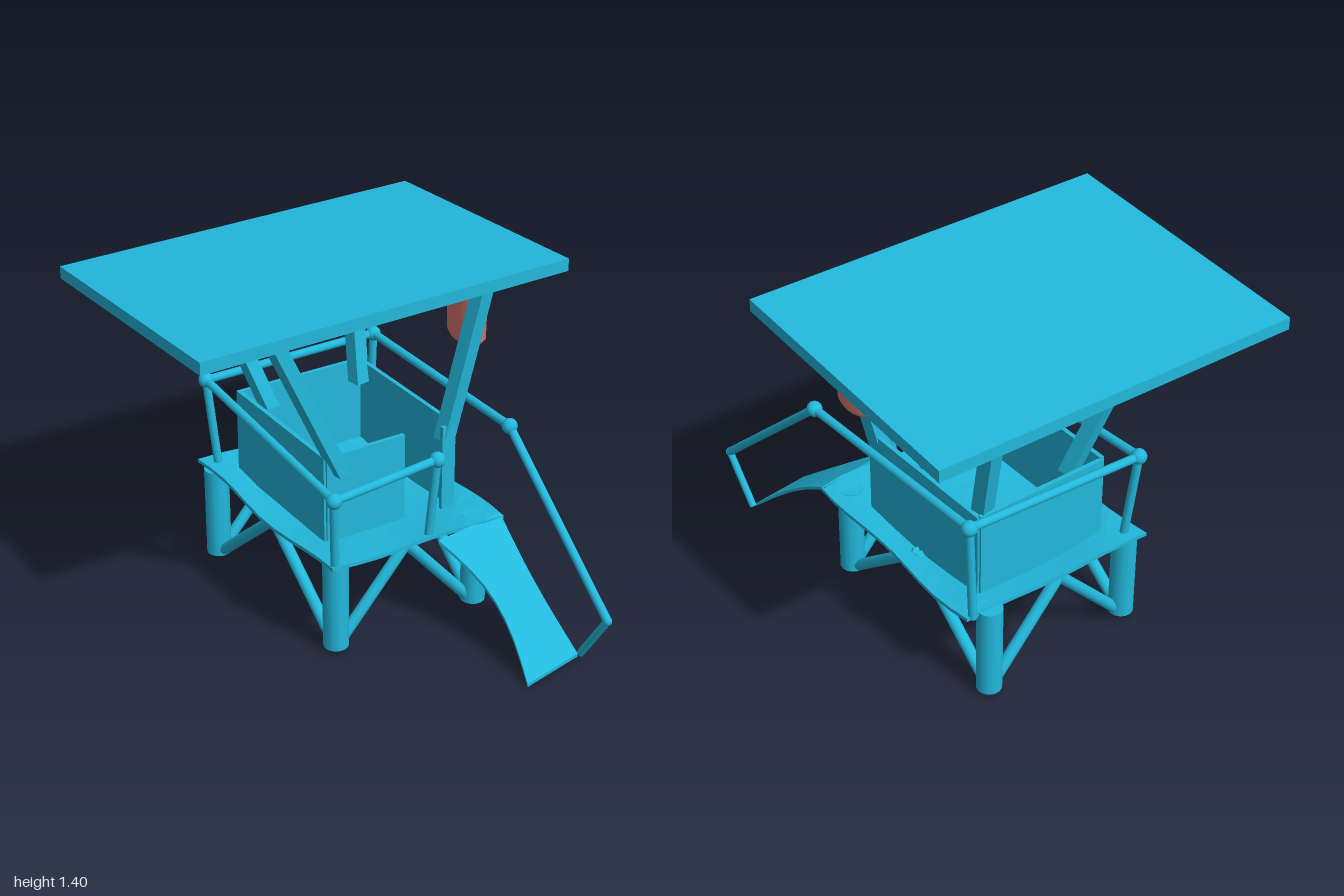
import * as THREE from 'three';

const V = (p) => new THREE.Vector3(...p);
const paint = (color, flat = false) =>
  new THREE.MeshStandardMaterial({ color, flatShading: flat, side: THREE.DoubleSide });

export function createModel() {
  const model = new THREE.Group();
  const blue = paint(0x22b8dc);
  const blueFlat = paint(0x22b8dc, true);
  const red = paint(0xd9786b);
  const dark = paint(0x4a2020);

  const add = (name, geometry, material = blue) => {
    const mesh = new THREE.Mesh(geometry, material);
    mesh.name = name;
    model.add(mesh);
    return mesh;
  };

  // round bar between two points
  const bar = (name, a, b, r) => {
    const A = V(a), B = V(b), d = B.clone().sub(A);
    const m = add(name, new THREE.CylinderGeometry(r, r, d.length(), 14));
    m.position.copy(A).add(B).multiplyScalar(0.5);
    m.quaternion.setFromUnitVectors(new THREE.Vector3(0, 1, 0), d.normalize());
  };

  // box whose vertices are moved into a slab between bottom and top corners
  // corners: front left, front right, back right, back left
  const slab = (name, corners, thickness, nx = 1, nz = 1, bend = () => [0, 0, 0]) => {
    const [fl, fr, br, bl] = corners.map(V);
    const g = new THREE.BoxGeometry(1, 1, 1, nx, 1, nz);
    const p = g.attributes.position;
    for (let i = 0; i < p.count; i++) {
      const u = p.getX(i) + 0.5, v = p.getZ(i) + 0.5;
      const front = fl.clone().lerp(fr, u);
      const q = bl.clone().lerp(br, u).lerp(front, v).add(V(bend(u, v)));
      p.setXYZ(i, q.x, q.y + (p.getY(i) - 0.5) * thickness, q.z);
    }
    g.computeVertexNormals();
    return add(name, g, blueFlat);
  };

  // roof
  slab('roof', [[-0.87, 1.38, 0.12], [0.66, 1.405, 0.39], [0.86, 1.335, -0.72], [-0.67, 1.31, -1.0]], 0.05);

  // uneven deck
  slab('deck', [[-0.4, 0.42, 0.25], [0.37, 0.405, 0.37], [0.55, 0.4, -0.56], [-0.25, 0.425, -0.74]], 0.015, 8, 10,
    (u, v) => [
      0.01 * Math.sin(v * 9),
      -0.035 * Math.sin(Math.PI * u) * Math.sin(Math.PI * v) - 0.015 * Math.sin(Math.PI * v) + 0.006 * Math.sin(u * 9 + v * 7),
      0.012 * Math.sin(u * 9) * v,
    ]);

  // warped entry ramp
  slab('ramp', [[0.04, 0.015, 0.85], [0.31, 0.03, 0.85], [0.37, 0.41, 0.36], [0.05, 0.41, 0.35]], 0.014, 5, 8,
    (u, v) => [
      (0.5 - u) * 0.09 * Math.sin(Math.PI * v) + 0.02 * Math.sin(Math.PI * v),
      0.02 * Math.sin(Math.PI * v) - 0.012 * Math.sin(Math.PI * u) * Math.sin(Math.PI * v),
      0,
    ]);

  // legs with an inverted V of braces on each side
  const feet = [[-0.32, 0.18], [0.30, 0.29], [0.45, -0.58], [-0.22, -0.66]];
  feet.forEach(([x, z], i) => {
    bar('leg', [x, 0.02, z], [x, 0.405, z], 0.05);
    const [x2, z2] = feet[(i + 1) % 4];
    const apex = [(x + x2) / 2, 0.37, (z + z2) / 2];
    bar('brace', [x + (x2 - x) * 0.05, 0.045, z + (z2 - z) * 0.05], apex, 0.023);
    bar('brace', [x2 + (x - x2) * 0.05, 0.045, z2 + (z - z2) * 0.05], apex, 0.023);
  });

  // cabin walls, each between two plan points
  const wall = (name, [x1, z1], [x2, z2], y0, y1) => {
    const m = add(name, new THREE.BoxGeometry(Math.hypot(x2 - x1, z2 - z1), y1 - y0, 0.018), blueFlat);
    m.position.set((x1 + x2) / 2, (y0 + y1) / 2, (z1 + z2) / 2);
    m.rotation.y = -Math.atan2(z2 - z1, x2 - x1);
  };
  wall('frontWall', [-0.26, 0.06], [0.08, 0.12], 0.4, 0.765);
  wall('doorJamb', [0.25, 0.15], [0.305, 0.16], 0.385, 0.745);
  wall('rightHandWall', [0.305, 0.16], [0.41, -0.49], 0.37, 0.75);
  wall('backWall', [0.41, -0.49], [-0.15, -0.59], 0.39, 0.755);
  wall('leftHandWall', [-0.15, -0.59], [-0.26, 0.06], 0.4, 0.76);

  // square roof posts leaning outwards
  const post = (a, b) => {
    const w = 0.03;
    const ring = ([x, y, z]) => [[-w, w], [w, w], [w, -w], [-w, -w]].map(([i, k]) => [x + i, y, z + k]);
    const [lo, hi] = [ring(a), ring(b)];
    const g = new THREE.BoxGeometry(1, 1, 1);
    const p = g.attributes.position;
    for (let i = 0; i < p.count; i++) {
      const k = p.getZ(i) > 0 ? (p.getX(i) < 0 ? 0 : 1) : (p.getX(i) > 0 ? 2 : 3);
      p.setXYZ(i, ...(p.getY(i) > 0 ? hi : lo)[k]);
    }
    g.computeVertexNormals();
    add('roofPost', g, blueFlat);
  };
  post([-0.2, 0.68, 0.08], [-0.51, 1.335, 0.06]);
  post([0.285, 0.68, 0.13], [0.42, 1.35, 0.2]);
  post([0.36, 0.68, -0.45], [0.42, 1.305, -0.58]);
  post([-0.07, 0.7, -0.5], [-0.24, 1.29, -0.66]);

  // guard rail with ball joints
  const joints = [
    [0.08, 0.73, 0.305], [-0.39, 0.71, 0.255], [-0.22, 0.785, -0.705],
    [0.53, 0.805, -0.55], [0.39, 0.79, 0.375],
  ];
  joints.forEach((j, i) => {
    const ball = add('railJoint', new THREE.SphereGeometry(0.031, 16, 12));
    ball.position.set(...j);
    if (i) bar('handRail', joints[i - 1], j, 0.017);
  });
  const stands = [[0.065, 0.4, 0.28], [-0.37, 0.4, 0.235], [-0.2, 0.41, -0.67], [0.52, 0.39, -0.56]];
  stands.forEach((s, i) => bar('railPost', joints[i], s, 0.017));

  // ramp hand rail
  const rampEnd = [0.318, 0.235, 0.98];
  bar('rampRail', joints[4], rampEnd, 0.017);
  bar('rampRailPost', rampEnd, [0.325, 0.025, 0.85], 0.015);
  const elbow = add('rampRailJoint', new THREE.SphereGeometry(0.018, 12, 10));
  elbow.position.set(...rampEnd);

  // hanging float with a dark collar
  const float = new THREE.Group();
  float.name = 'hangingFloat';
  const profile = [[0, 0], [0.045, 0.004], [0.08, 0.02], [0.1, 0.045], [0.105, 0.25], [0.1, 0.35], [0, 0.352]];
  const body = new THREE.Mesh(new THREE.LatheGeometry(profile.map((p) => new THREE.Vector2(...p)), 14), red);
  body.name = 'floatBody';
  const collar = new THREE.Mesh(new THREE.TorusGeometry(0.118, 0.009, 8, 24), dark);
  collar.name = 'floatCollar';
  collar.rotation.x = Math.PI / 2 + 0.08;
  collar.position.y = 0.262;
  float.add(body, collar);
  float.scale.set(0.52, 1, 1);
  float.rotation.y = -0.08;
  float.position.set(0.48, 0.99, 0.04);
  model.add(float);

  return model;
}
